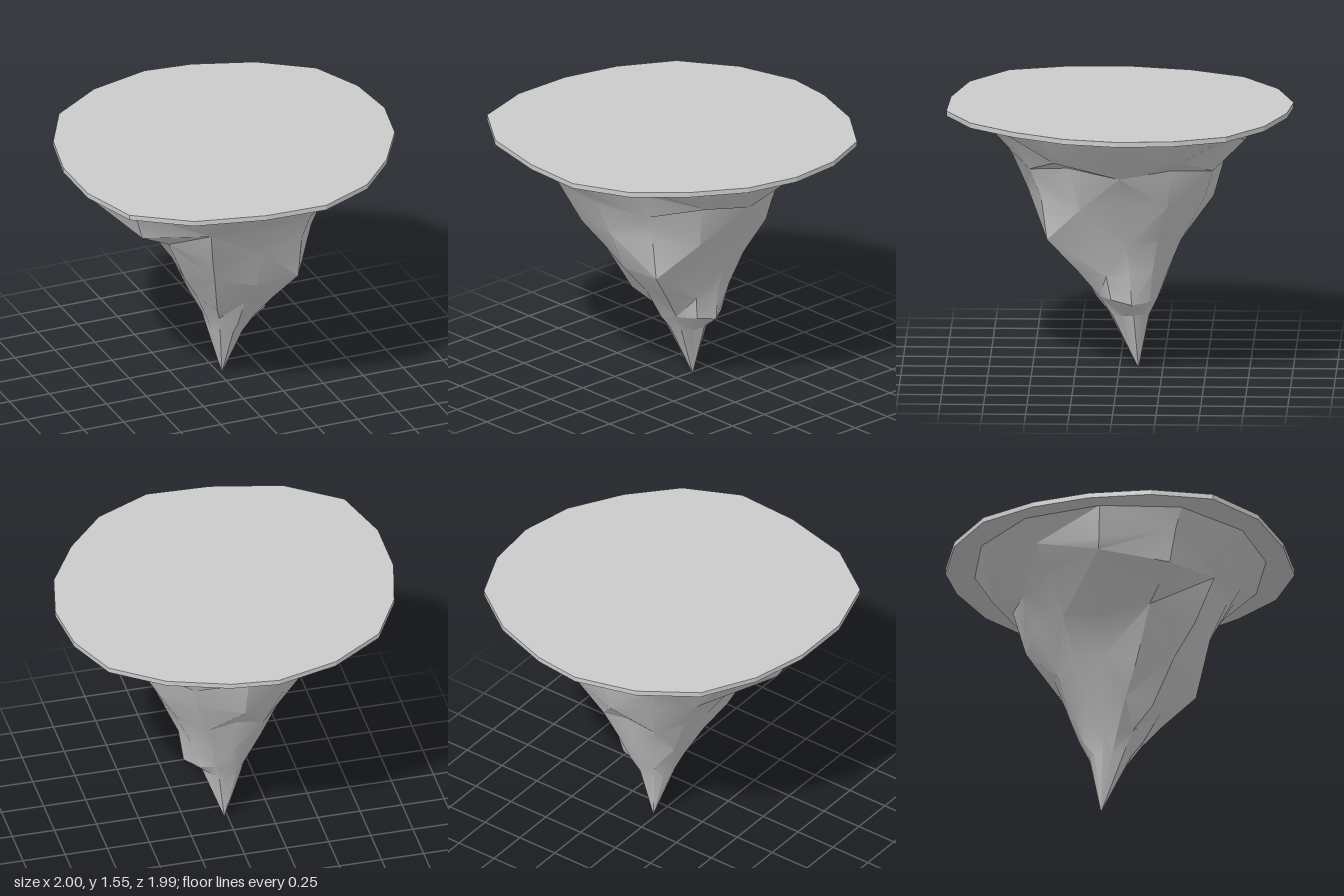
import * as THREE from 'three';
import { toCreasedNormals } from 'three/addons/utils/BufferGeometryUtils.js';

const TOP = 1.55, SLAB = 0.03, SIDES = 12;

// Irregular outline of the flat ground, as [x, z]
const OUTLINE = [
  [-0.08, -1], [0.2, -0.97], [0.55, -0.85], [0.84, -0.64], [0.97, -0.34], [1, -0.02],
  [0.93, 0.29], [0.75, 0.59], [0.52, 0.84], [0.2, 0.99], [-0.17, 0.975], [-0.58, 0.88],
  [-0.89, 0.66], [-1, 0.31], [-1, -0.05], [-0.92, -0.38], [-0.75, -0.69], [-0.44, -0.9],
];

// Rock cross-sections: height, vertical raggedness, radii every 30 degrees from +x towards +z
const RINGS = [
  [1.52, 0, [0.84, 0.87, 0.85, 0.85, 0.89, 0.93, 0.89, 0.89, 0.86, 0.84, 0.87, 0.86]],
  [1.38, 0.04, [0.74, 0.74, 0.71, 0.71, 0.79, 0.87, 0.83, 0.77, 0.72, 0.72, 0.73, 0.72]],
  [1.26, 0.03, [0.60, 0.60, 0.61, 0.64, 0.71, 0.80, 0.80, 0.66, 0.58, 0.60, 0.61, 0.59]],
  [1.05, 0.03, [0.48, 0.50, 0.55, 0.56, 0.59, 0.54, 0.46, 0.48, 0.49, 0.51, 0.54, 0.51]],
  [0.82, 0.03, [0.35, 0.39, 0.53, 0.47, 0.46, 0.385, 0.33, 0.33, 0.33, 0.33, 0.36, 0.36]],
  [0.60, 0.02, [0.27, 0.27, 0.34, 0.31, 0.32, 0.26, 0.22, 0.22, 0.22, 0.22, 0.25, 0.26]],
  [0.44, 0.02, [0.24, 0.24, 0.22, 0.21, 0.19, 0.155, 0.135, 0.14, 0.15, 0.16, 0.17, 0.20]],
  [0.33, 0.01, [0.13, 0.13, 0.14, 0.15, 0.13, 0.11, 0.105, 0.10, 0.10, 0.09, 0.10, 0.11]],
];

function slabGeometry() {
  const shape = new THREE.Shape(OUTLINE.map(([x, z]) => new THREE.Vector2(x, z)));
  const geometry = new THREE.ExtrudeGeometry(shape, { depth: SLAB, bevelEnabled: false });
  return geometry.rotateX(Math.PI / 2).translate(0, TOP, 0);
}

function rockGeometry() {
  const positions = [], indices = [];
  RINGS.forEach(([y, ragged, radii], j) => {
    // The axis leans towards the off-centre tip
    const lean = 1 - y / 1.52;
    radii.forEach((r, i) => {
      const a = (i / SIDES) * Math.PI * 2;
      positions.push(
        0.02 * lean + r * Math.cos(a),
        y + ragged * Math.sin(i * 2.4 + j * 2.8),
        -0.11 * lean + r * Math.sin(a),
      );
    });
  });
  const tip = RINGS.length * SIDES;
  positions.push(0.02, 0, -0.11);

  for (let j = 0; j < RINGS.length; j++) {
    for (let i = 0; i < SIDES; i++) {
      const next = (i + 1) % SIDES;
      const a = j * SIDES + i, b = j * SIDES + next;
      const c = a + SIDES, d = b + SIDES;
      if (j === RINGS.length - 1) indices.push(a, b, tip);
      else if ((i + j) % 2) indices.push(a, b, c, b, d, c);
      else indices.push(a, b, d, a, d, c);
    }
  }
  const geometry = new THREE.BufferGeometry();
  geometry.setAttribute('position', new THREE.Float32BufferAttribute(positions, 3));
  geometry.setIndex(indices);
  return toCreasedNormals(geometry, 0.4);
}

export function createModel() {
  const group = new THREE.Group();
  group.name = 'floatingIsland';
  const material = new THREE.MeshStandardMaterial({ color: 0xcccccc });
  const add = (name, geometry) => {
    const mesh = new THREE.Mesh(geometry, material);
    mesh.name = name;
    group.add(mesh);
  };
  add('groundSlab', slabGeometry());
  add('hangingRock', rockGeometry());
  return group;
}
